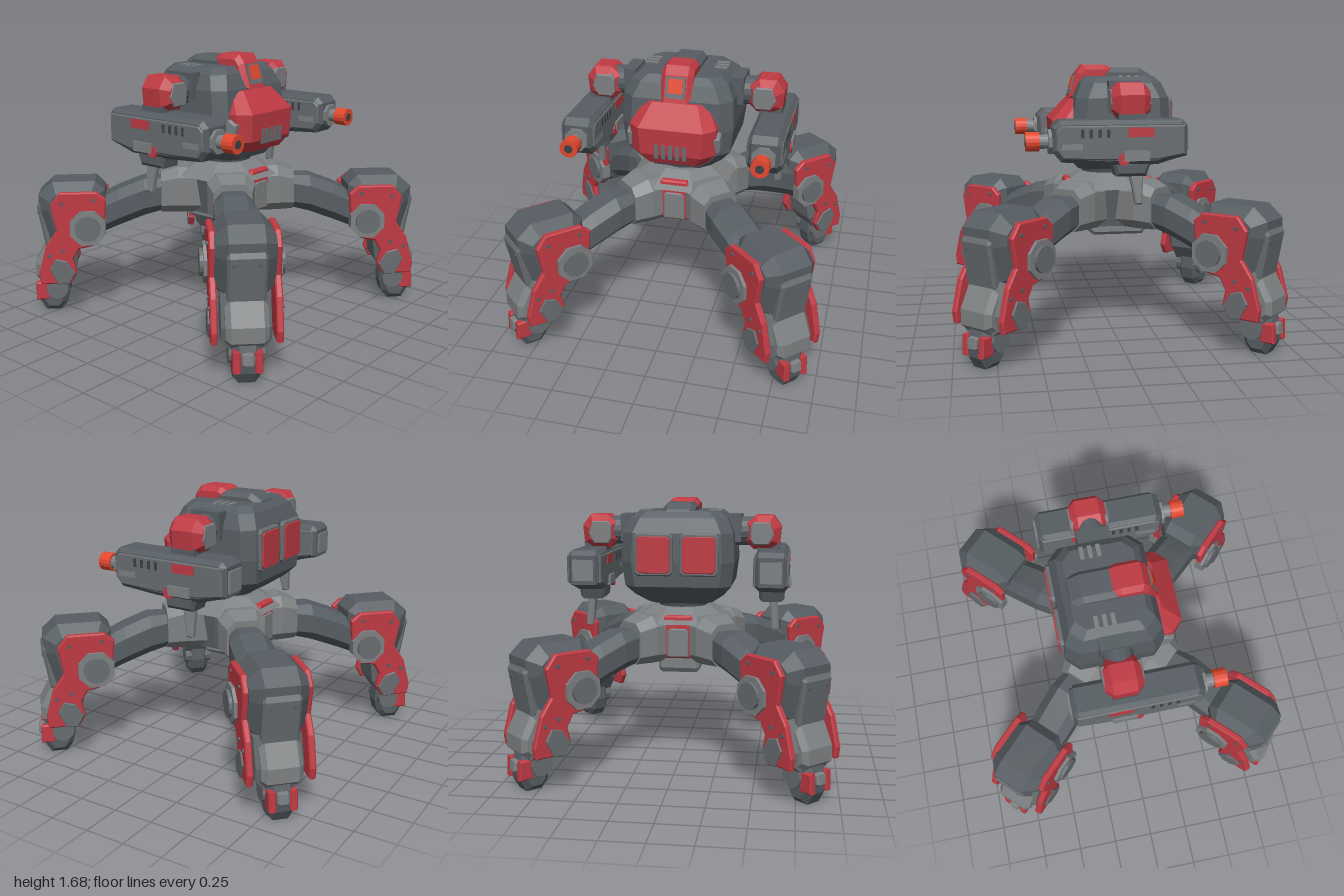
import * as THREE from 'three';

const mat = (name, color) => {
  const m = new THREE.MeshStandardMaterial({ color });
  m.name = name;
  return m;
};

export function createModel() {
  const dark = mat('dark armour', 0x565d62);
  const steel = mat('steel grey', 0x7d8082);
  const panel = mat('panel grey', 0x686d70);
  const black = mat('vent black', 0x3c4145);
  const red = mat('armour red', 0xbf3a43);
  const glow = mat('signal orange', 0xe2482f);

  const model = new THREE.Group();
  model.name = 'walker';

  const add = (parent, name, geo, material, x = 0, y = 0, z = 0) => {
    const g = geo.index ? geo.toNonIndexed() : geo;
    g.computeVertexNormals();
    const mesh = new THREE.Mesh(g, material);
    mesh.name = name;
    mesh.position.set(x, y, z);
    parent.add(mesh);
    return mesh;
  };
  const box = (w, h, d) => new THREE.BoxGeometry(w, h, d);
  const rod = (r0, r1, len, axis, sides = 12) => {
    const g = new THREE.CylinderGeometry(r0, r1, len, sides);
    if (sides === 8) g.rotateY(Math.PI / 8);
    if (axis === 'x') g.rotateZ(-Math.PI / 2);
    if (axis === 'z') g.rotateX(Math.PI / 2);
    return g;
  };
  // Outline in x,y given a width along z, with chamfered rims
  const slab = (pts, width, b = 0.01) => {
    const shape = new THREE.Shape(pts.map(p => new THREE.Vector2(p[0], p[1])));
    const depth = width - 2 * b;
    return new THREE.ExtrudeGeometry(shape, {
      depth, bevelEnabled: true, bevelThickness: b, bevelSize: b, bevelOffset: -b, bevelSegments: 1,
    }).translate(0, 0, -depth / 2);
  };
  // Outline in z,y given a width along x
  const slabX = (pts, width, b) => slab(pts, width, b).rotateY(-Math.PI / 2);
  // Chamfered rectangles joined along an axis; rows are [position, centre, halfU, halfV, chamfer]
  const loft = (rows, axis) => {
    const rings = rows.map(([p, m, u, v, c]) =>
      [[u, v - c], [u - c, v], [c - u, v], [-u, v - c], [-u, c - v], [c - u, -v], [u - c, -v], [u, c - v]]
        .map(([a, b]) => axis === 'x' ? [p, m + b, a] : [a, p, m + b]));
    const pos = [];
    const tri = (a, b, c) => axis === 'x' ? pos.push(...a, ...c, ...b) : pos.push(...a, ...b, ...c);
    const n = 8, last = rings.length - 1;
    for (let k = 0; k < last; k++) for (let i = 0; i < n; i++) {
      const j = (i + 1) % n, a = rings[k], b = rings[k + 1];
      tri(a[i], b[i], b[j]);
      tri(a[i], b[j], a[j]);
    }
    for (let i = 1; i < n - 1; i++) {
      tri(rings[0][0], rings[0][i], rings[0][i + 1]);
      tri(rings[last][0], rings[last][i + 1], rings[last][i]);
    }
    // Turn every face outward when the enclosed volume is negative
    const v = k => new THREE.Vector3(pos[k], pos[k + 1], pos[k + 2]);
    let vol = 0;
    for (let k = 0; k < pos.length; k += 9) vol += v(k).dot(v(k + 3).cross(v(k + 6)));
    if (vol < 0) for (let k = 0; k < pos.length; k += 9) for (let q = 0; q < 3; q++)
      [pos[k + 3 + q], pos[k + 6 + q]] = [pos[k + 6 + q], pos[k + 3 + q]];
    const g = new THREE.BufferGeometry();
    g.setAttribute('position', new THREE.Float32BufferAttribute(pos, 3));
    return g;
  };

  // Pelvis and waist
  const pelvis = new THREE.Group();
  pelvis.name = 'pelvis';
  model.add(pelvis);
  add(pelvis, 'pelvisCore', rod(0.27, 0.24, 0.25, 'y', 8), dark, 0, 0.79, 0);
  add(pelvis, 'pelvisTop', rod(0.2, 0.34, 0.09, 'y', 8), steel, 0, 0.955, 0);
  add(pelvis, 'waist', rod(0.19, 0.15, 0.1, 'y', 16), dark, 0, 1.03, 0);
  add(pelvis, 'bellyBox', slabX([[0.16, 0.7], [0.16, 0.64], [0.1, 0.59], [-0.22, 0.59], [-0.24, 0.62], [-0.24, 0.7]], 0.26, 0.02), steel);
  for (const s of [1, -1]) {
    add(pelvis, 'beltPlate', slab([[-0.1, 0.72], [-0.07, 0.69], [0.07, 0.69], [0.1, 0.72], [0.1, 0.93], [0.08, 0.96], [-0.08, 0.96], [-0.1, 0.93]], 0.06, 0.01), red, 0, 0, s * 0.25);
    add(pelvis, 'beltInset', slab([[-0.065, 0.7], [0.065, 0.7], [0.065, 0.86], [0.05, 0.88], [-0.05, 0.88], [-0.065, 0.86]], 0.03, 0.005), steel, 0, 0, s * 0.275);
  }

  // Legs: local x points outward
  for (let k = 0; k < 4; k++) {
    const leg = new THREE.Group();
    leg.name = 'leg';
    leg.rotation.y = Math.PI / 4 + k * Math.PI / 2;
    model.add(leg);
    add(leg, 'hip', loft([[0.14, 0.8, 0.14, 0.14, 0.05], [0.32, 0.81, 0.15, 0.15, 0.06], [0.43, 0.79, 0.12, 0.13, 0.05]], 'x'), steel);
    add(leg, 'thigh', loft([[0.38, 0.78, 0.1, 0.1, 0.04], [0.54, 0.76, 0.13, 0.12, 0.06], [0.7, 0.7, 0.13, 0.12, 0.06], [0.92, 0.6, 0.12, 0.11, 0.05]], 'x'), dark);
    add(leg, 'knee', slab([[0.79, 0.82], [0.85, 0.88], [1.12, 0.88], [1.21, 0.8], [1.21, 0.7], [1.15, 0.48], [1.0, 0.42], [0.86, 0.5], [0.79, 0.66]], 0.34, 0.07), dark);
    add(leg, 'shin', slab([[0.96, 0.52], [1.15, 0.52], [1.22, 0.32], [1.2, 0.2], [1.06, 0.2], [0.99, 0.3]], 0.28, 0.04), panel);
    add(leg, 'kneePanel', slab([[1.15, 0.75], [1.2, 0.77], [1.225, 0.72], [1.18, 0.46], [1.12, 0.46]], 0.22, 0.015), panel);
    add(leg, 'shinGuard', slab([[1.1, 0.45], [1.18, 0.47], [1.25, 0.34], [1.25, 0.25], [1.19, 0.2], [1.12, 0.22]], 0.24, 0.03), steel);
    add(leg, 'foot', slab([[1.05, 0.24], [1.22, 0.24], [1.25, 0.15], [1.24, 0.07], [1.2, 0], [1.1, 0], [1.06, 0.05], [1.04, 0.13]], 0.16, 0.035), dark);
    add(leg, 'ankle', rod(0.07, 0.07, 0.2, 'z', 12), panel, 1.12, 0.16, 0);
    add(leg, 'toeCap', slab([[1.18, 0.2], [1.265, 0.19], [1.27, 0.13], [1.24, 0.11], [1.18, 0.13]], 0.07, 0.01), steel);
    for (const s of [1, -1]) {
      add(leg, 'sidePlate', slab([[0.78, 0.78], [0.84, 0.83], [1.07, 0.83], [1.13, 0.75], [1.1, 0.58], [1.17, 0.48], [1.22, 0.3], [1.21, 0.23],
        [1.02, 0.23], [0.98, 0.3], [1.0, 0.39], [0.96, 0.46], [0.86, 0.48], [0.8, 0.56]], 0.04, 0.008), red, 0, 0, s * 0.18);
      add(leg, 'hubRim', rod(0.12, 0.12, 0.06, 'z', 8), steel, 0.9, 0.6, s * 0.19);
      add(leg, 'hub', rod(0.08, 0.08, 0.05, 'z', 16), panel, 0.9, 0.6, s * 0.215);
      add(leg, 'shinPlate', slab([[0.99, 0.3], [1.03, 0.23], [1.1, 0.23], [1.15, 0.33], [1.11, 0.4], [1.04, 0.38]], 0.02, 0.005), panel, 0, 0, s * 0.2);
      add(leg, 'toePlate', slab([[1.17, 0.2], [1.255, 0.2], [1.26, 0.08], [1.17, 0.08]], 0.045, 0.008), red, 0, 0, s * 0.062);
      for (const [x, y] of [[0.86, 0.78], [1.06, 0.76], [1.06, 0.45], [1.15, 0.42]])
        add(leg, 'rivet', rod(0.012, 0.012, 0.012, 'z', 8), dark, x, y, s * 0.203);
      add(leg, 'panelRivet', rod(0.012, 0.012, 0.014, 'x', 8), dark, 1.217, 0.68, s * 0.07);
    }
  }

  // Torso shell
  const torso = new THREE.Group();
  torso.name = 'torso';
  model.add(torso);
  add(torso, 'hull', loft([[1.03, 0, 0.2, 0.2, 0.06], [1.09, -0.03, 0.28, 0.26, 0.07], [1.15, -0.05, 0.33, 0.3, 0.07], [1.3, -0.055, 0.35, 0.305, 0.07],
    [1.48, -0.06, 0.34, 0.29, 0.07], [1.57, -0.06, 0.3, 0.25, 0.07], [1.61, -0.06, 0.25, 0.21, 0.06]], 'y'), dark);
  add(torso, 'spine', slabX([[0.05, 1.58], [0.05, 1.66], [-0.2, 1.66], [-0.27, 1.62], [-0.29, 1.56]], 0.2, 0.03), dark);
  add(torso, 'chestPlate', loft([[1.1, 0.2, 0.2, 0.12, 0.06], [1.17, 0.24, 0.26, 0.12, 0.07], [1.34, 0.25, 0.27, 0.12, 0.07], [1.47, 0.17, 0.19, 0.08, 0.05]], 'y'), red);
  for (let i = -2; i <= 2; i++) add(torso, 'chestVent', box(0.025, 0.09, 0.02), panel, i * 0.043, 1.195, 0.36);

  // Hood and eye
  add(torso, 'hood', slabX([[-0.03, 1.6], [-0.02, 1.66], [0.02, 1.68], [0.16, 1.68], [0.2, 1.63], [0.25, 1.47], [0.1, 1.47]], 0.2, 0.03), red);
  const eyeFrame = add(torso, 'eyeFrame', box(0.12, 0.13, 0.012), panel, 0, 1.56, 0.224);
  const eye = add(torso, 'eye', box(0.09, 0.09, 0.012), glow, 0, 1.57, 0.226);
  eyeFrame.rotation.x = eye.rotation.x = -0.3;

  for (const s of [1, -1]) {
    // Torso side details
    add(torso, 'cheekFin', slabX([[0.2, 1.19], [0.29, 1.19], [0.31, 1.28], [0.26, 1.31], [0.2, 1.31]], 0.05, 0.01), steel, s * 0.265);
    for (let i = 0; i < 3; i++) add(torso, 'roofVent', box(0.08, 0.012, 0.025), steel, s * 0.22, 1.61, -0.15 + i * 0.05);
    const rim = [[-0.12, 1.24], [-0.1, 1.22], [0.1, 1.22], [0.12, 1.24], [0.12, 1.46], [0.1, 1.48], [-0.1, 1.48], [-0.12, 1.46]];
    const win = rim.map(([x, y]) => [x * 0.84, 1.35 + (y - 1.35) * 0.86]);
    add(torso, 'backFrame', slab(rim, 0.04, 0.008), panel, s * 0.14, 0, -0.355);
    add(torso, 'backPanel', slab(win, 0.02, 0.004), red, s * 0.14, 0, -0.374);

    // Shoulder
    const arm = new THREE.Group();
    arm.name = s > 0 ? 'leftArm' : 'rightArm';
    model.add(arm);
    const m = pts => pts.map(([x, y]) => [x * s, y]);
    add(arm, 'shoulderMount', box(0.08, 0.17, 0.2), dark, s * 0.34, 1.5, -0.06);
    add(arm, 'shoulderAxle', rod(0.09, 0.09, 0.14, 'x', 16), dark, s * 0.39, 1.48, -0.06);
    add(arm, 'shoulderArmour', slab(m([[0.41, 1.42], [0.41, 1.53], [0.47, 1.58], [0.58, 1.58], [0.63, 1.51], [0.62, 1.4], [0.57, 1.37], [0.46, 1.37]]), 0.23, 0.045), red, 0, 0, -0.06);
    add(arm, 'shoulderFace', slab(m([[0.44, 1.43], [0.46, 1.4], [0.55, 1.4], [0.585, 1.46], [0.56, 1.54], [0.46, 1.54], [0.44, 1.51]]), 0.24, 0.006), steel, 0, 0, -0.06);
    add(arm, 'elbow', box(0.14, 0.08, 0.16), dark, s * 0.55, 1.37, -0.06);

    // Gun
    const cx = s * 0.575;
    add(arm, 'gunBody', slabX([[0.41, 1.33], [0.37, 1.37], [-0.35, 1.37], [-0.38, 1.34], [-0.38, 1.16], [-0.3, 1.14], [-0.2, 1.11], [0.1, 1.11], [0.36, 1.13], [0.41, 1.19]], 0.2, 0.025), dark);
    arm.children[arm.children.length - 1].position.x = cx;
    add(arm, 'gunSidePanel', slabX([[0.39, 1.31], [0.36, 1.34], [-0.36, 1.34], [-0.36, 1.17], [-0.2, 1.14], [0.1, 1.14], [0.35, 1.15], [0.39, 1.2]], 0.215, 0.008), panel, cx);
    add(arm, 'gunKeel', slabX([[0.06, 1.13], [0.04, 1.04], [-0.14, 1.04], [-0.17, 1.13]], 0.16, 0.02), dark, cx);
    add(arm, 'gunRearPlate', box(0.13, 0.13, 0.02), steel, cx, 1.25, -0.382);
    add(arm, 'gunCollar', rod(0.075, 0.075, 0.03, 'z', 8), steel, cx, 1.245, 0.415);
    add(arm, 'barrel', rod(0.042, 0.042, 0.09, 'z', 16), steel, cx, 1.245, 0.46);
    add(arm, 'muzzle', rod(0.056, 0.056, 0.08, 'z', 16), glow, cx, 1.245, 0.52);
    add(arm, 'bore', rod(0.026, 0.026, 0.006, 'z', 12), black, cx, 1.245, 0.56);
    const strut = add(arm, 'strut', slabX([[-0.04, 1.06], [-0.13, 1.06], [-0.12, 0.87], [-0.08, 0.87], [-0.06, 0.98]], 0.05, 0.01), steel, s * 0.6);
    strut.rotation.z = s * 0.08;
    strut.position.x = s * 0.52 + s * 0.15;
    for (const f of [1, -1]) {
      const x = cx + f * 0.106;
      add(arm, 'gunWindow', box(0.01, 0.055, 0.15), red, x, 1.3, -0.1);
      add(arm, 'gunBracket', box(0.03, 0.06, 0.15), steel, x, 1.165, -0.075);
      add(arm, 'gunButton', rod(0.035, 0.035, 0.02, 'x', 12), red, x, 1.145, 0);
      add(arm, 'gunLongSlot', box(0.008, 0.035, 0.12), steel, x, 1.22, 0.3);
      for (let i = 0; i < 4; i++) add(arm, 'gunSlot', box(0.008, 0.05, 0.02), black, x, 1.295, 0.09 + i * 0.05);
    }
  }
  return model;
}
